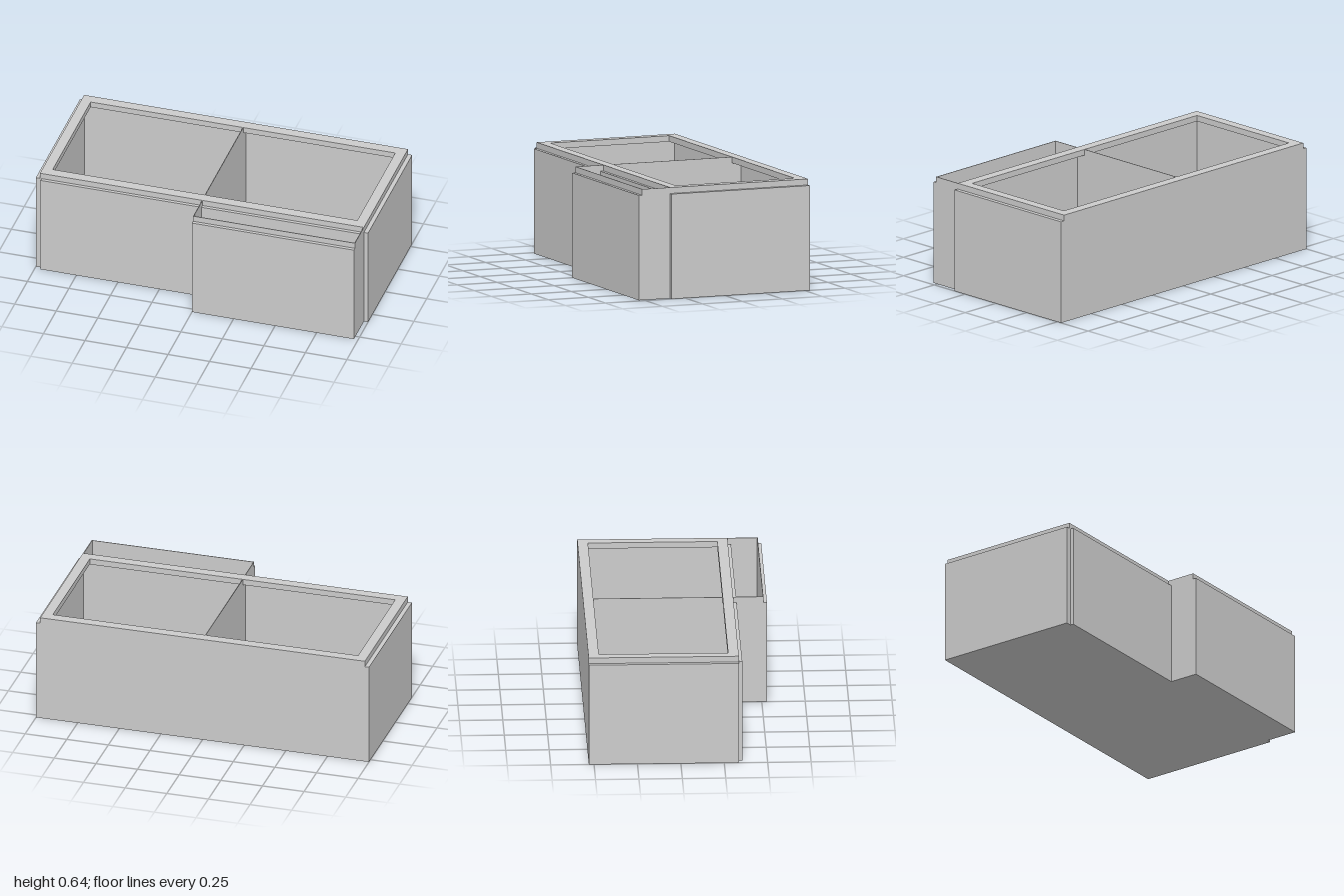
import * as THREE from 'three';
import { RoundedBoxGeometry } from 'three/addons/geometries/RoundedBoxGeometry.js';

const material = new THREE.MeshStandardMaterial({ color: 0xcccccc, flatShading: true });
const smooth = new THREE.MeshStandardMaterial({ color: 0xcccccc });

const BACK = -0.53, FRONT = 0.335;   // depth of the main box
const HALF = 0.975;                  // half width of the main box
const PANEL = 0.61, TOP = 0.645;     // panel height, rim height
const WALL = 0.004;

export function createModel() {
  const model = new THREE.Group();

  // Box given by its lower and upper limits on each axis
  function block(parent, name, [x0, x1], [y0, y1], [z0, z1]) {
    const mesh = new THREE.Mesh(new THREE.BoxGeometry(x1 - x0, y1 - y0, z1 - z0), material);
    mesh.position.set((x0 + x1) / 2, (y0 + y1) / 2, (z0 + z1) / 2);
    mesh.name = name;
    parent.add(mesh);
  }

  // Thin-walled main box
  const body = new THREE.Group();
  body.name = 'mainBox';
  model.add(body);
  block(body, 'floor', [-HALF, HALF], [0, 0.01], [BACK, FRONT]);
  block(body, 'backWall', [-HALF, HALF], [0, PANEL], [BACK, BACK + WALL]);
  block(body, 'frontWall', [-HALF, HALF], [0, PANEL], [FRONT - WALL, FRONT]);

  // Side cladding, lower than the rim
  for (const [name, s] of [['leftSide', 1], ['rightSide', -1]]) {
    const limits = [s * (HALF - WALL), s].sort((a, b) => a - b);
    block(body, name, limits, [0, PANEL], [BACK, FRONT]);
  }

  // Overhanging rim with a rectangular opening
  const outline = new THREE.Shape([
    new THREE.Vector2(-HALF, -FRONT), new THREE.Vector2(HALF, -FRONT),
    new THREE.Vector2(HALF, -BACK), new THREE.Vector2(-HALF, -BACK),
  ]);
  outline.holes.push(new THREE.Path([
    new THREE.Vector2(-0.917, -0.275), new THREE.Vector2(-0.917, 0.47),
    new THREE.Vector2(0.917, 0.47), new THREE.Vector2(0.917, -0.275),
  ]));
  const rim = new THREE.Mesh(
    new THREE.ExtrudeGeometry(outline, { depth: TOP - PANEL, bevelEnabled: false }), material);
  rim.rotation.x = -Math.PI / 2;
  rim.position.y = PANEL;
  rim.name = 'rim';
  body.add(rim);

  // Divider between the two compartments
  block(body, 'divider', [-WALL / 2, WALL / 2], [0, TOP], [BACK, FRONT]);

  // Rounded pad on the floor
  const pad = new THREE.Mesh(new RoundedBoxGeometry(1.77, 0.05, 0.675, 4, 0.015), smooth);
  pad.position.set(0, 0.03, -0.098);
  pad.name = 'floorPad';
  body.add(pad);

  // Front cladding
  block(body, 'frontPanel', [-0.965, 0.962], [0, PANEL], [FRONT, 0.355]);

  // Open-topped box projecting from the front left half
  const bin = new THREE.Group();
  bin.name = 'frontBin';
  model.add(bin);
  block(bin, 'binFloor', [0, HALF], [0, 0.01], [FRONT, 0.51]);
  block(bin, 'binRightWall', [0, WALL], [0, TOP], [FRONT, 0.51]);
  block(bin, 'binLeftWall', [HALF - WALL, HALF], [0, TOP], [FRONT, 0.51]);
  block(bin, 'binFrontWall', [0, HALF], [0, TOP], [0.51 - WALL, 0.51]);
  block(bin, 'binFrontPanel', [0, HALF], [0, PANEL], [0.51, 0.53]);

  return model;
}
